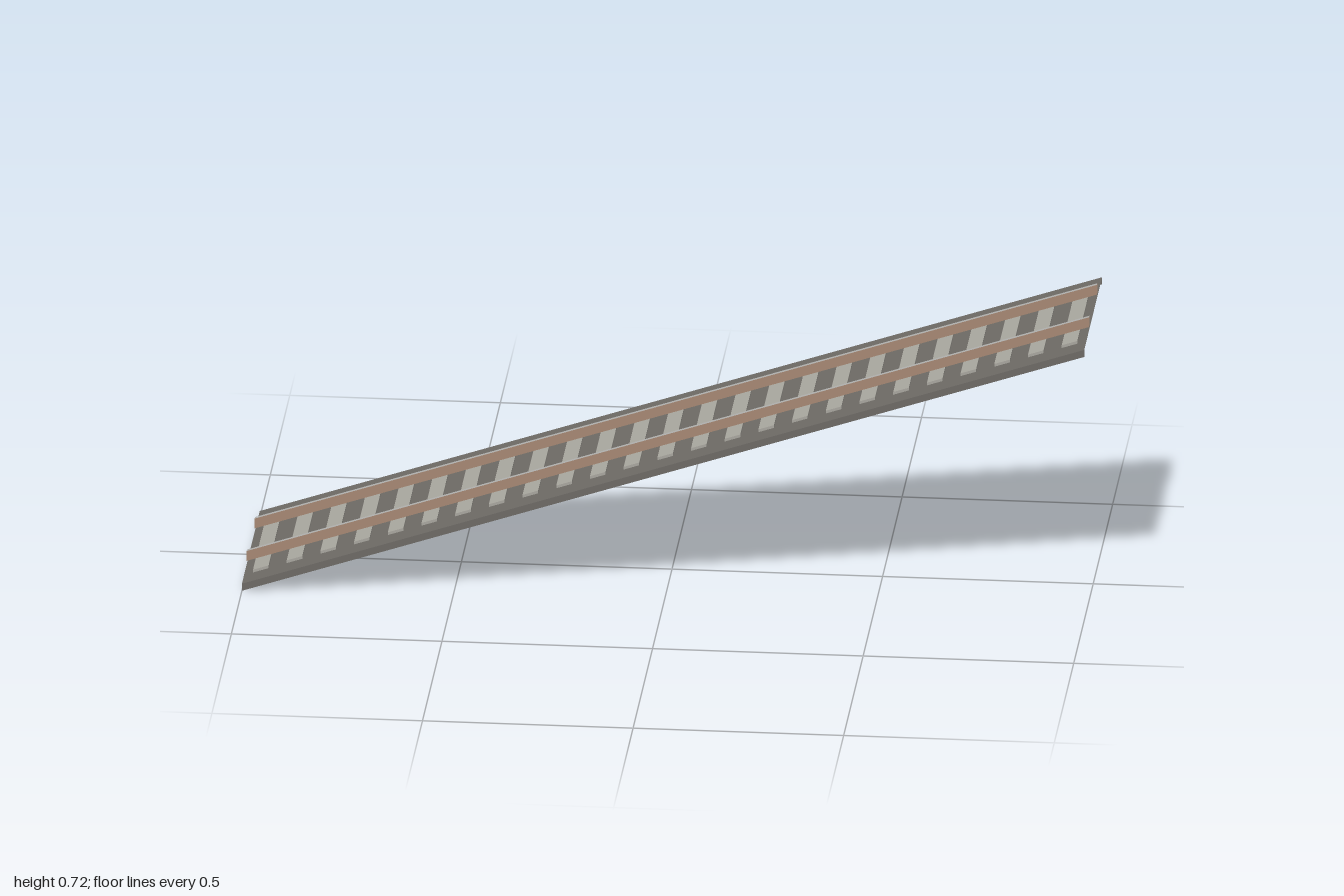
import * as THREE from 'three';

const SLOPE = 0.336;   // rise per unit of x
const MID = 0.354;     // height of the bed surface at x = 0

const mat = (name, color, side = THREE.FrontSide) => {
  const m = new THREE.MeshStandardMaterial({ color, side });
  m.name = name;
  return m;
};

// Shear a level geometry onto the ramp, keeping its ends vertical
function toRamp(geometry) {
  const p = geometry.attributes.position;
  for (let i = 0; i < p.count; i++) p.setY(i, p.getY(i) + MID + SLOPE * p.getX(i));
  geometry.computeVertexNormals();
  return geometry;
}

function part(name, geometry, material) {
  const mesh = new THREE.Mesh(toRamp(geometry), material);
  mesh.name = name;
  return mesh;
}

// Long upright strip facing +z (s = 1) or -z (s = -1)
function strip(height, y, z, s) {
  const g = new THREE.PlaneGeometry(2, height);
  if (s < 0) g.rotateY(Math.PI);
  return g.translate(0, y, z);
}

// Long flat strip facing up
const flat = (width, y, z) =>
  new THREE.PlaneGeometry(2, width).rotateX(-Math.PI / 2).translate(0, y, z);

export function createModel() {
  const model = new THREE.Group();
  model.name = 'slopedRailTrack';

  const gravel = mat('gravel grey', 0x6d6a65, THREE.DoubleSide);
  const concrete = mat('concrete grey', 0xa9a79f);
  const steel = mat('steel grey', 0xb0b0ae, THREE.DoubleSide);
  const rust = mat('rust brown', 0xa68873, THREE.DoubleSide);

  // Bed: a thin sheet with a hanging skirt along each long side
  const bedHalf = 0.2285, skirt = 0.018;
  model.add(part('bed', flat(bedHalf * 2, 0, 0), gravel));
  for (const s of [1, -1]) {
    model.add(part(s > 0 ? 'frontSkirt' : 'backSkirt', strip(skirt, -skirt / 2, s * bedHalf, s), gravel));
  }

  // Sleepers
  const sleepers = new THREE.Group();
  sleepers.name = 'sleepers';
  for (let i = 0; i < 25; i++) {
    const g = new THREE.BoxGeometry(0.037, 0.007, 0.352).translate(-0.96 + 0.08 * i, 0.0045, 0);
    sleepers.add(part('sleeper', g, concrete));
  }
  model.add(sleepers);

  // Rails: open-ended, with rusty sides and a worn steel top
  const railHalf = 0.005, railBase = 0.009, railTop = 0.034;
  for (const s of [1, -1]) {
    const z = s * 0.102;
    const rail = new THREE.Group();
    rail.name = s > 0 ? 'frontRail' : 'backRail';
    rail.add(part('railTop', flat(railHalf * 2, railTop, z), steel));
    for (const f of [1, -1]) {
      rail.add(part('railSide', strip(railTop - railBase, (railTop + railBase) / 2, z + f * railHalf, f), rust));
    }
    model.add(rail);
  }
  return model;
}
